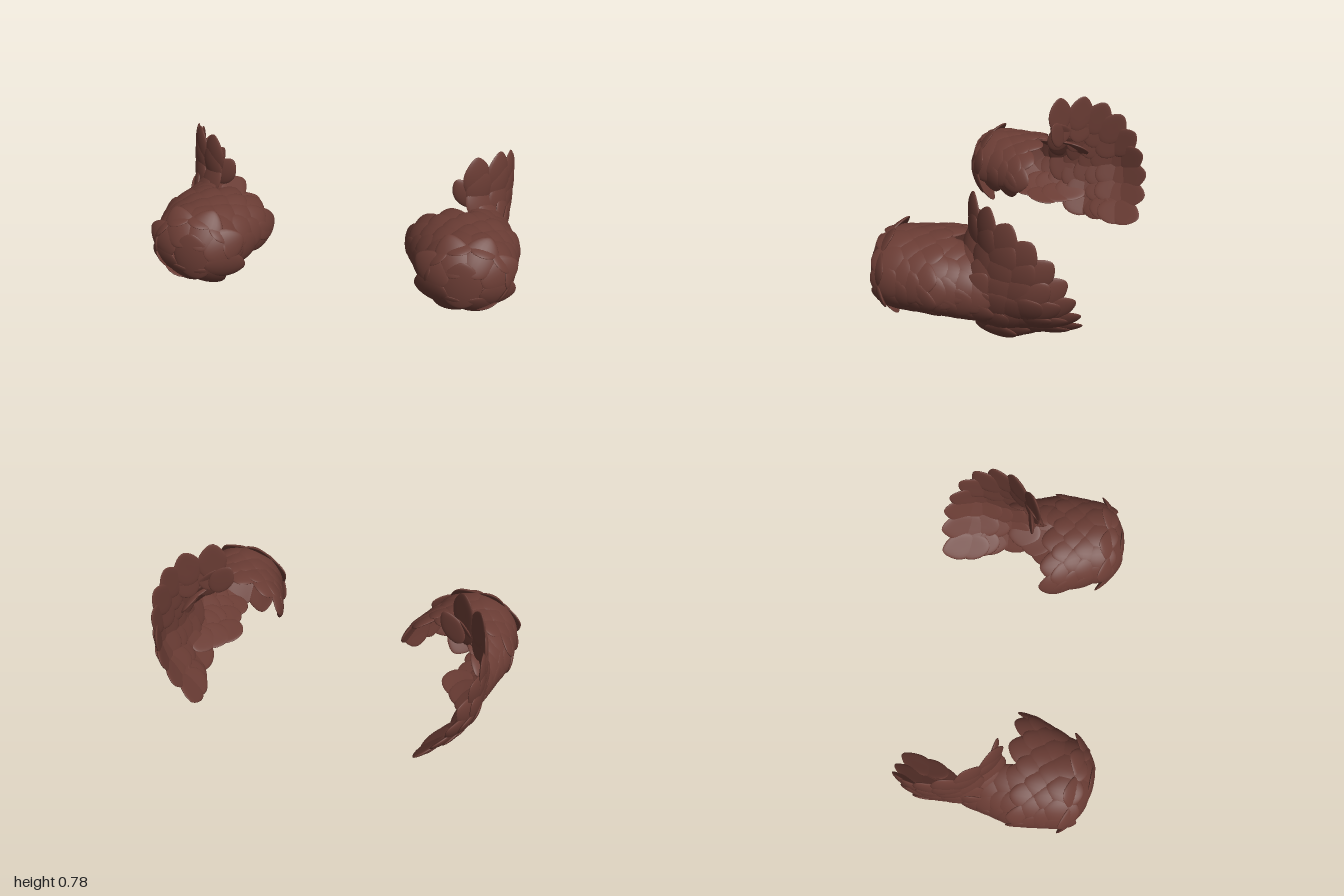
import * as THREE from 'three';

const material = new THREE.MeshStandardMaterial({ color: 0x6a3c34 });
const V = (x, y, z) => new THREE.Vector3(x, y, z);

// One thick leaf-shaped scale: round root at -y, blunt point at +y, curved over its surface
function scaleGeometry(length, width, bend) {
  const g = new THREE.SphereGeometry(1, 20, 14);
  const a = g.attributes.position;
  for (let i = 0; i < a.count; i++) {
    const v = a.getY(i);
    const taper = v > 0 ? 1 - 0.3 * v * v : 1;
    const x = a.getX(i) * taper * width / 2;
    const y = v * length / 2;
    a.setXYZ(i, x, y, a.getZ(i) * 0.014 - bend * x * x - 0.6 * y * y);
  }
  g.computeVertexNormals();
  return g;
}

// Lay a scale at a point with its outward normal and tip direction
function addScale(parent, name, side, p, n, t, length, width, bend, lift) {
  const flip = V(side, 1, 1);
  const normal = n.clone().multiply(flip).normalize();
  const tip = t.clone().multiply(flip);
  tip.addScaledVector(normal, -tip.dot(normal)).normalize().addScaledVector(normal, lift).normalize();
  const across = tip.clone().cross(normal).normalize();
  const out = across.clone().cross(tip);
  const mesh = new THREE.Mesh(scaleGeometry(length, width, bend), material);
  mesh.name = name;
  mesh.quaternion.setFromRotationMatrix(new THREE.Matrix4().makeBasis(across, tip, out));
  mesh.position.copy(p).multiply(flip);
  parent.add(mesh);
}

// Toe surface: u 0..1 is the blunt front dome, beyond 1 a tube widening inward toward the back
function toePoint(u, angle) {
  const d = Math.min(u, 1) * Math.PI / 2;
  const s = u < 1 ? 0.36 + 0.13 * Math.cos(d) : 0.36 - (u - 1) * 0.25;
  const r = Math.sin(d);
  const back = Math.max(0, 0.14 - s);
  const widen = THREE.MathUtils.clamp((0.36 - s) / 0.24, 0, 1);
  const x = 0.73 - 0.05 * widen - back * 0.15 + (0.23 + 0.06 * widen - back * 0.15) * r * Math.cos(angle);
  const y = 0.295 - back * 0.1 + 0.195 * r * Math.sin(angle);
  return V(x, y, s - 0.12 * (x - 0.69));
}

function addToeScale(parent, name, side, u, angle, length, width, lift) {
  const e = 0.01;
  const along = toePoint(u + e, angle).sub(toePoint(u - e, angle));
  const around = toePoint(u, angle + e).sub(toePoint(u, angle - e));
  addScale(parent, name, side, toePoint(u, angle), along.clone().cross(around), along, length, width, 1.7, lift);
}

// Heel guard surface: upright wall curling in at the low back, the rear edge and the upper front
function heelPoint(z, y) {
  const low = Math.max(0, 0.35 - y), back = Math.max(0, -0.35 - z);
  const front = Math.max(0, z + 0.3), high = Math.max(0, y - 0.45);
  const upper = THREE.MathUtils.smoothstep(y, 0.3, 0.55);
  const curl = 1.2 + THREE.MathUtils.smoothstep(-z, 0.2, 0.4);
  return V(0.88 - curl * low * low - 2.5 * back * back - 2.2 * front * front * upper - 0.4 * high * high, y, z);
}

function addHeelScale(parent, side, z, y, dirZ, dirY, length, width) {
  const e = 0.01;
  const dz = heelPoint(z + e, y).sub(heelPoint(z - e, y));
  const dy = heelPoint(z, y + e).sub(heelPoint(z, y - e));
  const t = dz.clone().multiplyScalar(dirZ).addScaledVector(dy, dirY);
  addScale(parent, 'heelScale', side, heelPoint(z, y), dy.cross(dz), t, length, width, 1.2, 0.08);
}

function createShell(side) {
  const shell = new THREE.Group();
  shell.name = side > 0 ? 'leftShell' : 'rightShell';

  // Blunt front cap: one middle scale and a slightly flaring ring
  const cap = new THREE.Group();
  cap.name = 'toeCap';
  addScale(cap, 'capScale', side, V(0.72, 0.3, 0.49), V(0.1, 0, 1), V(0, 1, 0), 0.28, 0.22, 1.2, 0);
  for (let i = 0; i < 8; i++)
    addToeScale(cap, 'capScale', side, 0.62, (i + 0.5) * Math.PI / 4, 0.23, 0.19, 0.06);

  // Arched rows over the toe, tips pointing back, open along the inner underside
  const toe = new THREE.Group();
  toe.name = 'toeScales';
  for (let row = 0; row < 5; row++) {
    const n = 8 + (row % 2);
    for (let i = 0; i < n; i++)
      addToeScale(toe, 'toeScale', side, 1 + row * 0.24,
        0.96 + (i - (n - 1) / 2) * 0.56, 0.2, 0.18, 0.13);
  }

  // Shrinking rows on the outer side, joining toe and heel
  const flank = new THREE.Group();
  flank.name = 'sideScales';
  for (let row = 0; row < 3; row++) {
    const n = 6 - row;
    for (let i = 0; i < n; i++)
      addToeScale(flank, 'sideScale', side, 2.2 + row * 0.3,
        -0.15 + (i - (n - 1) / 2) * 0.52, 0.2, 0.18, 0.1);
  }

  // Heel guard: scales fanning out from the low front corner, plus a small inward one at the front
  const heel = new THREE.Group();
  heel.name = 'heelGuard';
  for (let ring = 0; ring < 6; ring++) {
    const f = 0.3 + ring * 0.108;
    const n = 4 + ring;
    for (let i = 0; i < n; i++) {
      const a = 0.02 + 1.5 * (i + (ring % 2 ? 0.1 : 0)) / (n - 0.9);
      const reach = 0.55 + 0.16 * Math.sin(a * 1.25);
      const c = Math.cos(a), s = Math.sin(a);
      addHeelScale(heel, side, -0.01 - f * reach * c, 0.06 + f * reach * s - 0.015 * c, -c, s, 0.23, 0.17);
    }
  }
  addScale(heel, 'heelScale', side, V(0.66, 0.54, -0.04), V(0.3, 0, 1), V(-0.6, 0.8, 0), 0.2, 0.13, 1.2, 0);

  shell.add(cap, toe, flank, heel);
  return shell;
}

export function createModel() {
  const model = new THREE.Group();
  model.name = 'scaledShells';
  const left = createShell(1);
  const right = createShell(-1);
  // The right shell is turned slightly outward at the heel
  right.rotation.y = 0.1;
  right.position.set(-0.03, 0, -0.005);
  model.add(left, right);
  return model;
}
